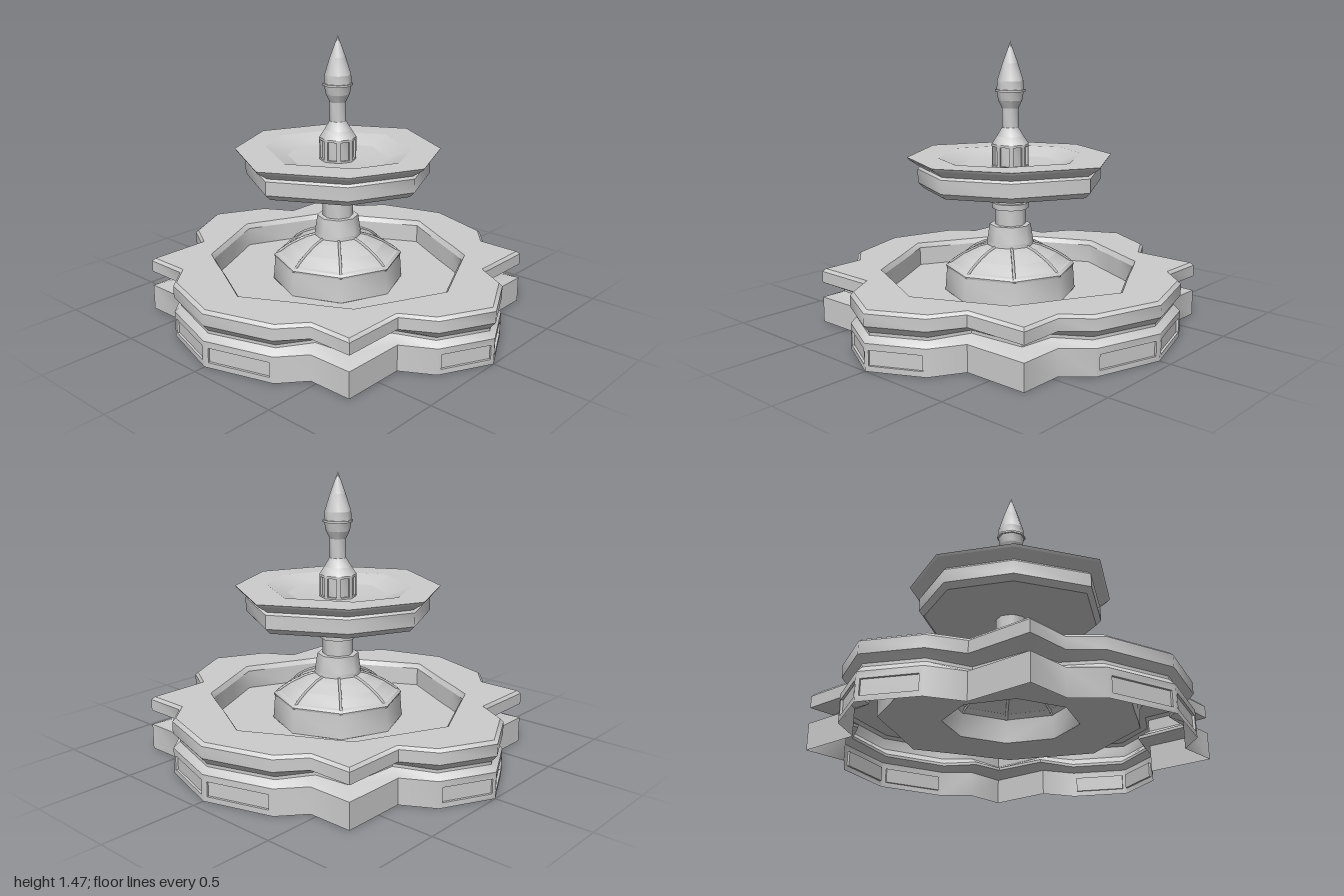
import * as THREE from 'three';
import { mergeGeometries, toCreasedNormals } from 'three/addons/utils/BufferGeometryUtils.js';

const material = new THREE.MeshStandardMaterial({ color: 0xcccccc, side: THREE.DoubleSide });

// Mirror a quarter outline (from +x to +z) into a closed loop of [x, z].
function mirror4(quarter) {
  const half = [...quarter, ...quarter.slice(0, -1).reverse().map(([x, z]) => [-x, z])];
  return [...half, ...half.slice(1, -1).reverse().map(([x, z]) => [x, -z])];
}
const ring = (outline, y, s = 1) => outline.map(([x, z]) => new THREE.Vector3(x * s, y, z * s));
const octagon = (rx, rz = rx, dx = rx * 0.707, dz = rz * 0.707) => mirror4([[rx, 0], [dx, dz], [0, rz]]);
const octRing = (y, r) => ring(octagon(r), y);

// One wall quad, or a quad framing a sunken panel.
function addQuad(out, a, A, B, b) {
  for (const tri of [[a, A, B], [a, B, b]]) {
    if (new THREE.Triangle(...tri).getArea() > 1e-8) tri.forEach((p) => out.push(p.x, p.y, p.z));
  }
}
function addPanel(out, a, A, B, b, { margin, low, high, depth }) {
  const at = (u, v) => a.clone().lerp(b, u).lerp(A.clone().lerp(B, u), v);
  const inward = B.clone().sub(a).cross(A.clone().sub(b)).normalize();
  const centre = at(0.5, 0.5).setY(0);
  if (inward.dot(centre) > 0) inward.negate();
  const outer = [a, A, B, b];
  const inner = [at(margin, low), at(margin, high), at(1 - margin, high), at(1 - margin, low)];
  const sunk = inner.map((p) => p.clone().addScaledVector(inward, depth));
  for (let i = 0; i < 4; i++) {
    const j = (i + 1) % 4;
    addQuad(out, outer[i], outer[j], inner[j], inner[i]);
    addQuad(out, inner[i], inner[j], sunk[j], sunk[i]);
  }
  addQuad(out, ...sunk);
}

// Skin a stack of rings; every band is smooth around and sharp above and below.
function loft(name, rings, panel = null) {
  const bands = [];
  for (let k = 0; k < rings.length - 1; k++) {
    const out = [], lo = rings[k], hi = rings[k + 1], n = lo.length;
    for (let i = 0; i < n; i++) {
      const j = (i + 1) % n;
      const corners = [lo[i], hi[i], hi[j], lo[j]];
      if (panel && panel.band === k && panel.sides(i)) addPanel(out, ...corners, panel);
      else addQuad(out, ...corners);
    }
    if (!out.length) continue;
    const g = new THREE.BufferGeometry();
    g.setAttribute('position', new THREE.Float32BufferAttribute(out, 3));
    bands.push(toCreasedNormals(g, 0.97));
  }
  const mesh = new THREE.Mesh(mergeGeometries(bands), material);
  mesh.name = name;
  return mesh;
}

export function createModel() {
  const model = new THREE.Group();
  model.name = 'fountain';

  // Lobed basin: outer wall with groove, rim, inner wall, floor
  const outer = mirror4([[1, 0], [0.865, 0.265], [0.7, 0.36], [0.7, 0.7], [0.465, 0.7], [0.355, 0.83], [0, 0.94]]);
  const groove = mirror4([[0.97, 0], [0.84, 0.25], [0.64, 0.33], [0.62, 0.62], [0.44, 0.64], [0.34, 0.8], [0, 0.91]]);
  const pool = mirror4([[0.72, 0], [0.617, 0.22], [0.575, 0.31], [0.51, 0.45], [0.4, 0.51], [0.27, 0.575], [0, 0.72]]);
  const domeFoot = mirror4([[0.345, 0], [0.304, 0.098], [0.28, 0.16], [0.244, 0.244], [0.16, 0.28], [0.098, 0.304], [0, 0.345]]);
  const lobeFacets = [0, 5, 6, 11, 12, 17, 18, 23];
  model.add(loft('basinWall', [
    ring(outer, 0), ring(outer, 0.135), ring(groove, 0.165), ring(groove, 0.18),
    ring(outer, 0.215), ring(outer, 0.275), ring(outer, 0.29, 0.98),
    ring(pool, 0.29), ring(pool, 0.265, 0.975), ring(pool, 0.165, 0.97),
  ], { band: 0, sides: (i) => lobeFacets.includes(i), margin: 0.06, low: 0.2, high: 0.76, depth: 0.012 }));
  model.add(loft('basinFloor', [ring(pool, 0.165, 0.97), ring(domeFoot, 0.165)]));

  // Ribbed dome, open underneath
  const domeProfile = [[0.165, 0.345], [0.29, 0.335], [0.315, 0.315], [0.36, 0.25], [0.4, 0.165], [0.412, 0.12]];
  model.add(loft('dome', domeProfile.map(([y, r]) => octRing(y, r))));
  const ribs = new THREE.Group();
  ribs.name = 'domeRibs';
  for (let i = 0; i < 8; i++) {
    const a = (i * Math.PI) / 4;
    const path = new THREE.CatmullRomCurve3(domeProfile.slice(1).map(([y, r]) =>
      new THREE.Vector3(r * Math.cos(a), y, r * Math.sin(a))));
    ribs.add(new THREE.Mesh(new THREE.TubeGeometry(path, 10, 0.009, 4), material));
  }
  model.add(ribs);
  model.add(loft('domeBand', [octRing(0.29, 0.338), octRing(0.3, 0.34), octRing(0.312, 0.328), octRing(0.316, 0.313)]));

  // Collar, column and its ring
  model.add(loft('collar', [octRing(0.405, 0.125), octRing(0.43, 0.122), octRing(0.52, 0.108), octRing(0.52, 0.07)]));
  model.add(loft('column', [octRing(0.5, 0.08), octRing(0.73, 0.08)]));
  model.add(loft('columnRing', [octRing(0.605, 0.078), octRing(0.605, 0.096), octRing(0.635, 0.096), octRing(0.635, 0.078)]));

  // Upper bowl, from the column out, up, over the rim and into the dish
  const bowl = octagon(0.56, 0.577, 0.396, 0.358);
  const dish = octagon(0.405, 0.39, 0.305, 0.224);
  model.add(loft('upperBowl', [
    octRing(0.722, 0.07), ring(bowl, 0.722, 0.85), ring(bowl, 0.75, 0.9), ring(bowl, 0.82, 0.9),
    ring(bowl, 0.832, 0.88), ring(bowl, 0.87, 0.985), ring(bowl, 0.882, 1),
    ring(dish, 0.882), ring(dish, 0.84, 0.7), ring(dish, 0.825, 0.2), ring(dish, 0.825, 0),
  ]));

  // Finial: panelled pedestal, neck, bulb and spire
  model.add(loft('finialPedestal', [octRing(0.82, 0.096), octRing(0.945, 0.096), octRing(0.985, 0.07), octRing(1.03, 0.043)],
    { band: 0, sides: () => true, margin: 0.17, low: 0.12, high: 0.9, depth: 0.012 }));
  model.add(loft('finialNeck', [octRing(1.03, 0.043), octRing(1.13, 0.043), octRing(1.17, 0.062), octRing(1.215, 0.07)]));
  model.add(loft('finialRing', [octRing(1.215, 0.065), octRing(1.215, 0.078), octRing(1.226, 0.078), octRing(1.226, 0.065)]));
  model.add(loft('finialSpire', [octRing(1.226, 0.07), octRing(1.27, 0.068), octRing(1.36, 0.04), octRing(1.47, 0)]));

  return model;
}
